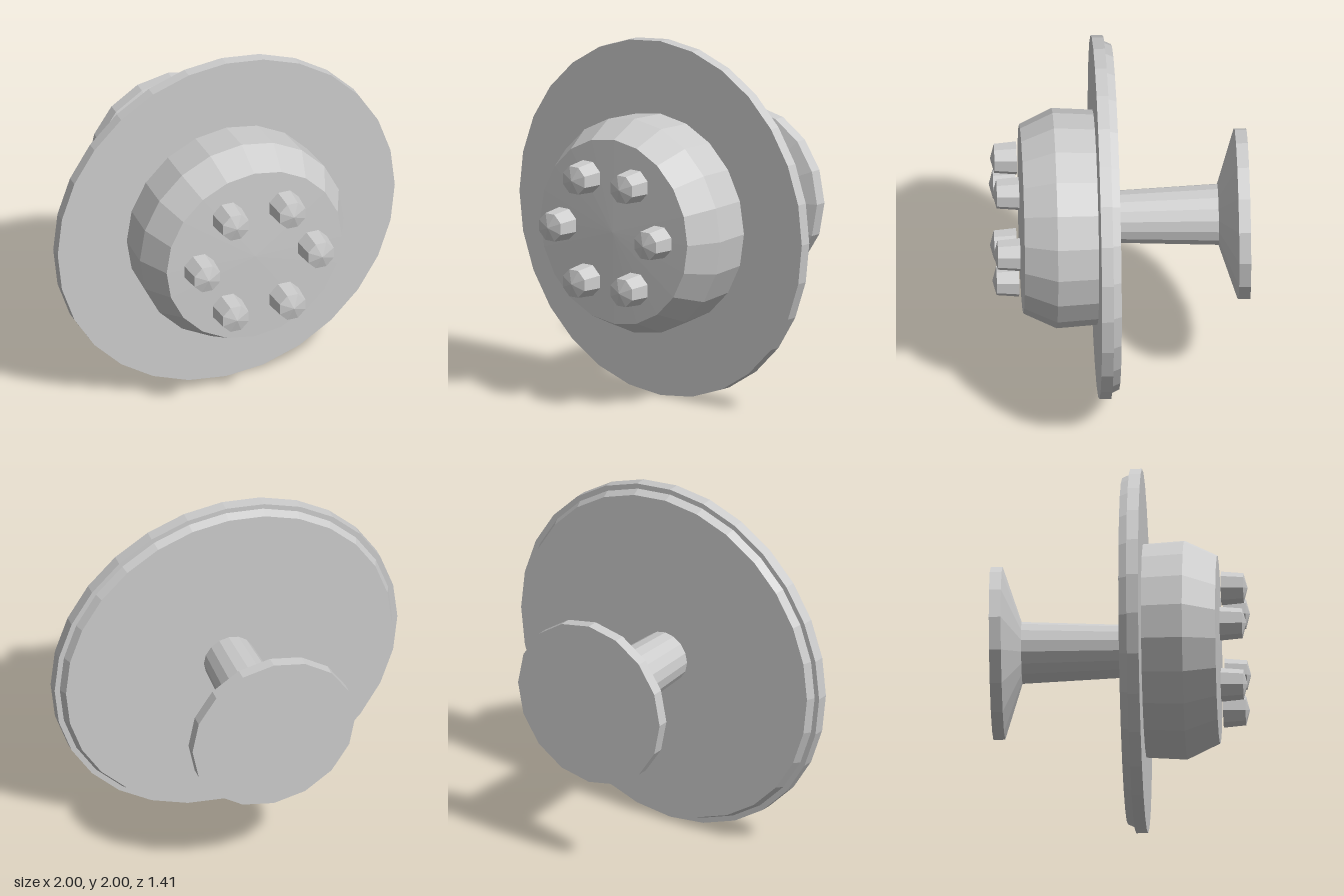
import * as THREE from 'three';

// Turns a profile of [radius, z] pairs, listed back to front, around the z axis.
function turned(name, profile, sides, material, twist = 0) {
  const points = profile.map(([r, z]) => new THREE.Vector2(r, z));
  const geometry = new THREE.LatheGeometry(points, sides);
  geometry.rotateY(twist);
  geometry.rotateX(Math.PI / 2);
  const mesh = new THREE.Mesh(geometry, material);
  mesh.name = name;
  return mesh;
}

export function createModel() {
  const metal = new THREE.MeshStandardMaterial({ color: 0xcccccc, flatShading: true });
  metal.name = 'grey metal';

  const model = new THREE.Group();
  model.name = 'hubAssembly';
  const axle = new THREE.Group();
  axle.name = 'axleLine';
  axle.position.y = 1;
  model.add(axle);

  // Large disc with a stepped, chamfered back
  axle.add(turned('disc',
    [[0, 0.025], [0.95, 0.025], [0.97, 0.07], [1, 0.07], [1, 0.135], [0, 0.135]], 28, metal));

  // Bulging drum with a bevelled, slightly domed face
  axle.add(turned('drum',
    [[0, 0.13], [0.59, 0.13], [0.605, 0.36], [0.52, 0.54], [0, 0.555]], 20, metal));

  // Tapered shaft
  axle.add(turned('shaft',
    [[0, -0.56], [0.17, -0.54], [0.145, 0.03], [0, 0.03]], 16, metal));

  // Flared flange at the back
  axle.add(turned('backFlange',
    [[0, -0.705], [0.475, -0.705], [0.475, -0.64], [0.17, -0.54], [0, -0.54]], 16, metal));

  // Ring of six pointed octagonal nuts
  const nuts = new THREE.Group();
  nuts.name = 'nuts';
  for (let i = 0; i < 6; i++) {
    const angle = (i * Math.PI) / 3;
    const nut = turned('nut',
      [[0, 0.56], [0.093, 0.56], [0.082, 0.683], [0, 0.705]], 8, metal, Math.PI / 8);
    nut.position.set(0.337 * Math.cos(angle), 0.337 * Math.sin(angle), 0);
    nuts.add(nut);
  }
  axle.add(nuts);

  return model;
}
